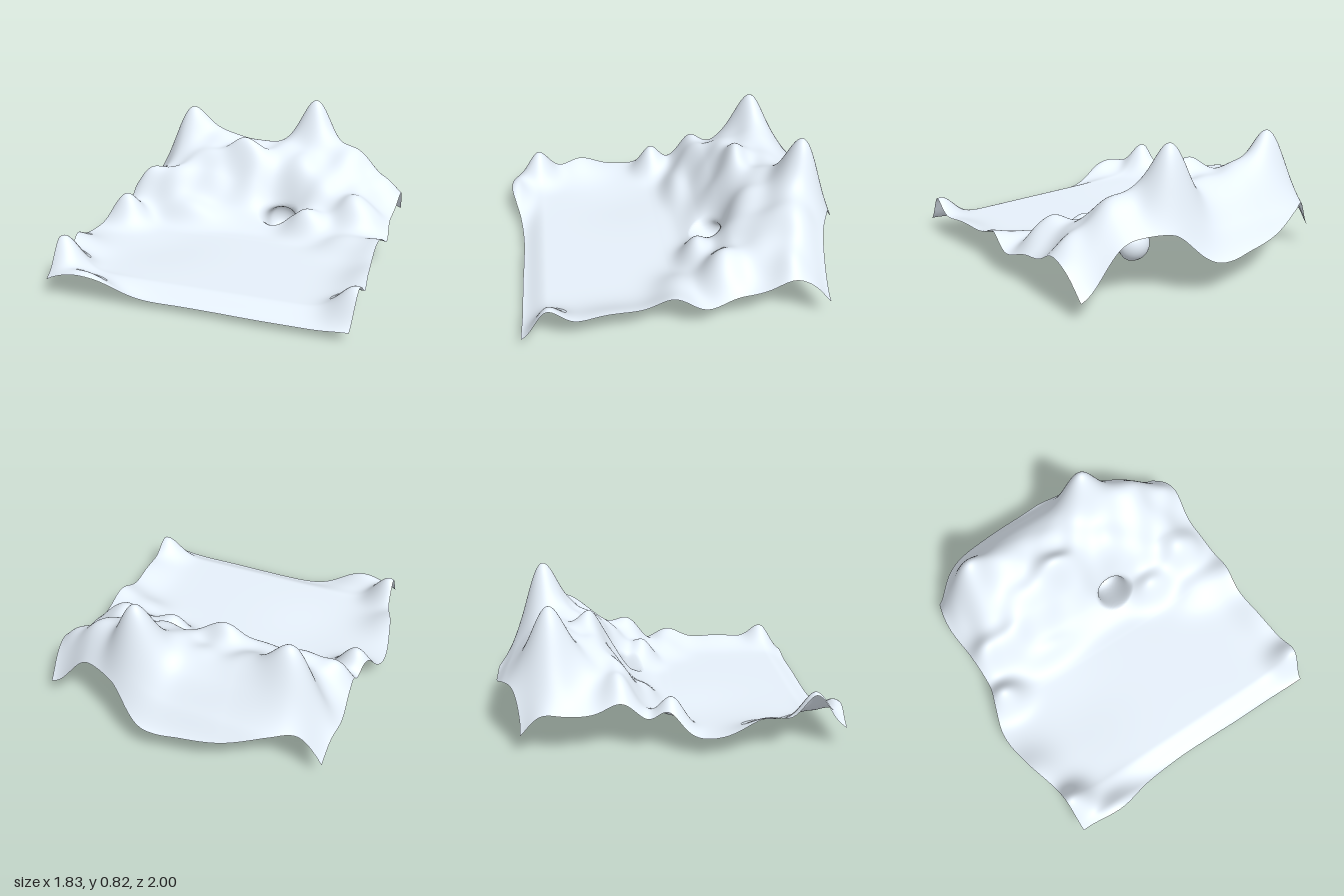
import * as THREE from 'three';

const { smoothstep, lerp, clamp } = THREE.MathUtils;

// Smooth curve through evenly spaced values between a and b
function curve(values, a, b, t) {
  const last = values.length - 1;
  const f = clamp((t - a) / (b - a), 0, 1) * last;
  const i = Math.min(Math.floor(f), last - 1), s = f - i;
  const p0 = values[Math.max(i - 1, 0)], p1 = values[i];
  const p2 = values[i + 1], p3 = values[Math.min(i + 2, last)];
  return p1 + 0.5 * s * (p2 - p0 + s * (2 * p0 - 5 * p1 + 4 * p2 - p3 + s * (3 * (p1 - p2) + p3 - p0)));
}

// Outline of the sheet: z of the back and front edges, x of the side edges
const backEdge = (x) => curve([-0.77, -0.885, -0.955, -0.985, -0.995, -0.885, -0.785, -0.77], -0.85, 0.85, x);
const frontEdge = (x) => curve([0.98, 1, 0.95, 0.93, 0.93, 0.935, 0.935, 0.94], -0.85, 0.85, x);
const rightEdge = (z) => curve([-0.83, -0.86, -0.84, -0.84, -0.92, -0.89, -0.82, -0.81], -0.8, 0.96, z);
const leftEdge = (z) => curve([0.88, 0.9, 0.88, 0.9, 0.87, 0.885, 0.905, 0.88], -0.8, 0.96, z);

// Main ridge: its profile from back to front, and its strength from side to side
const ridgeProfile = (z) => curve([0.1, 0.24, 0.37, 0.43, 0.42, 0.37, 0.26, 0.1, 0.015, 0], -1, 0.08, z);
const ridgeStrength = (x) => curve([0.2, 0.85, 1, 1, 1, 0.8, 0.3], -0.9, 0.9, x);

// Rounded peaks and hollows: x, z, height, x radius, z radius
const bumps = [
  [0.28, -0.74, 0.33, 0.14, 0.13], // tallest peak
  [0.58, -0.62, 0.09, 0.16, 0.12],
  [-0.6, -0.62, 0.24, 0.14, 0.12], // second peak
  [-0.42, -0.66, 0.06, 0.18, 0.12],
  [-0.1, -0.41, 0.12, 0.13, 0.08], // cliff crest
  [-0.33, -0.37, 0.06, 0.1, 0.08],
  [-0.57, -0.22, 0.12, 0.2, 0.1], // shoulder
  [-0.4, -0.08, 0.08, 0.2, 0.08], // ledge at the cliff foot
  [-0.78, -0.22, 0.12, 0.12, 0.12],
  [-0.78, 0.03, 0.19, 0.12, 0.1], // foothills on the right side
  [-0.9, 0.55, 0.1, 0.17, 0.17],
  [-0.78, 0.82, 0.2, 0.12, 0.11],
  [-0.58, 0.97, 0.14, 0.21, 0.1],
  [-0.45, 0.3, -0.02, 0.3, 0.3], // low part of the valley floor
  [0.7, -0.17, 0.18, 0.15, 0.11], // foothills on the left side
  [0.4, -0.08, 0.14, 0.13, 0.09],
  [0.65, 0.05, 0.07, 0.15, 0.13],
  [0.83, -0.54, 0.08, 0.14, 0.11],
  [0.9, 0.1, 0.1, 0.18, 0.14],
  [0.9, 0.45, 0.07, 0.15, 0.3],
  [0.88, 0.79, 0.12, 0.12, 0.1],
  [0.17, -0.245, -0.16, 0.13, 0.08], // hollow over the cave
  [0.85, -0.8, -0.12, 0.2, 0.1], // drooping back corners
  [-0.85, -0.8, -0.13, 0.1, 0.1],
];

function groundHeight(x, z) {
  let y = 0.1 + ridgeStrength(x) * ridgeProfile(z) - 0.06 * smoothstep(z, 0.79, 0.94);
  for (const [bx, bz, h, rx, rz] of bumps) {
    y += h * Math.exp(-(((x - bx) / rx) ** 2) - ((z - bz) / rz) ** 2);
  }
  // Gullies on the higher, inner slopes
  const rough = smoothstep(y, 0.15, 0.4) * smoothstep(z, -0.72, -0.5);
  return y + 0.008 * rough * (Math.sin(27 * x + 14 * z) + Math.sin(19 * z - 16 * x + 1));
}

// Wrap a disc of ground at the cliff foot into a round cave pocket under a lip
const mouth = { x: 0.175, z: -0.19, rx: 0.13, rz: 0.1 };
const pocket = { centre: new THREE.Vector3(0.185, 0.105, -0.295), radius: 0.105 };
const inward = new THREE.Vector3(0, -0.3, -1).normalize();
const upward = new THREE.Vector3(0, 1, -0.3).normalize();
function carveCave(p) {
  const dx = (p.x - mouth.x) / mouth.rx, dz = (mouth.z - p.z) / mouth.rz;
  const r = Math.hypot(dx, dz);
  if (r >= 1) return;
  const turn = 2.3 * r, spread = Math.sin(turn) / Math.max(r, 1e-6);
  const wall = new THREE.Vector3(dx * spread, 0, 0)
    .addScaledVector(upward, dz * spread)
    .addScaledVector(inward, Math.cos(turn))
    .multiplyScalar(pocket.radius)
    .add(pocket.centre);
  p.lerp(wall, 1 - smoothstep(r, 0.5, 1));
}

export function createModel() {
  const group = new THREE.Group();
  group.name = 'mountainTerrain';

  // One thin sheet, fitted to the outline and raised to the ground height
  const geometry = new THREE.PlaneGeometry(2, 2, 200, 220).rotateX(-Math.PI / 2);
  const pos = geometry.attributes.position;
  const p = new THREE.Vector3();
  for (let i = 0; i < pos.count; i++) {
    p.fromBufferAttribute(pos, i);
    const u = p.x;
    p.z = lerp(backEdge(u * 0.88), frontEdge(u * 0.88), (p.z + 1) / 2);
    p.x = lerp(rightEdge(p.z), leftEdge(p.z), (u + 1) / 2);
    p.y = groundHeight(p.x, p.z);
    carveCave(p);
    pos.setXYZ(i, p.x, p.y, p.z);
  }
  geometry.computeVertexNormals();

  const material = new THREE.MeshStandardMaterial({ color: 0xe6f0fa, side: THREE.DoubleSide });
  const terrain = new THREE.Mesh(geometry, material);
  terrain.name = 'terrainWithCave';
  group.add(terrain);
  return group;
}
